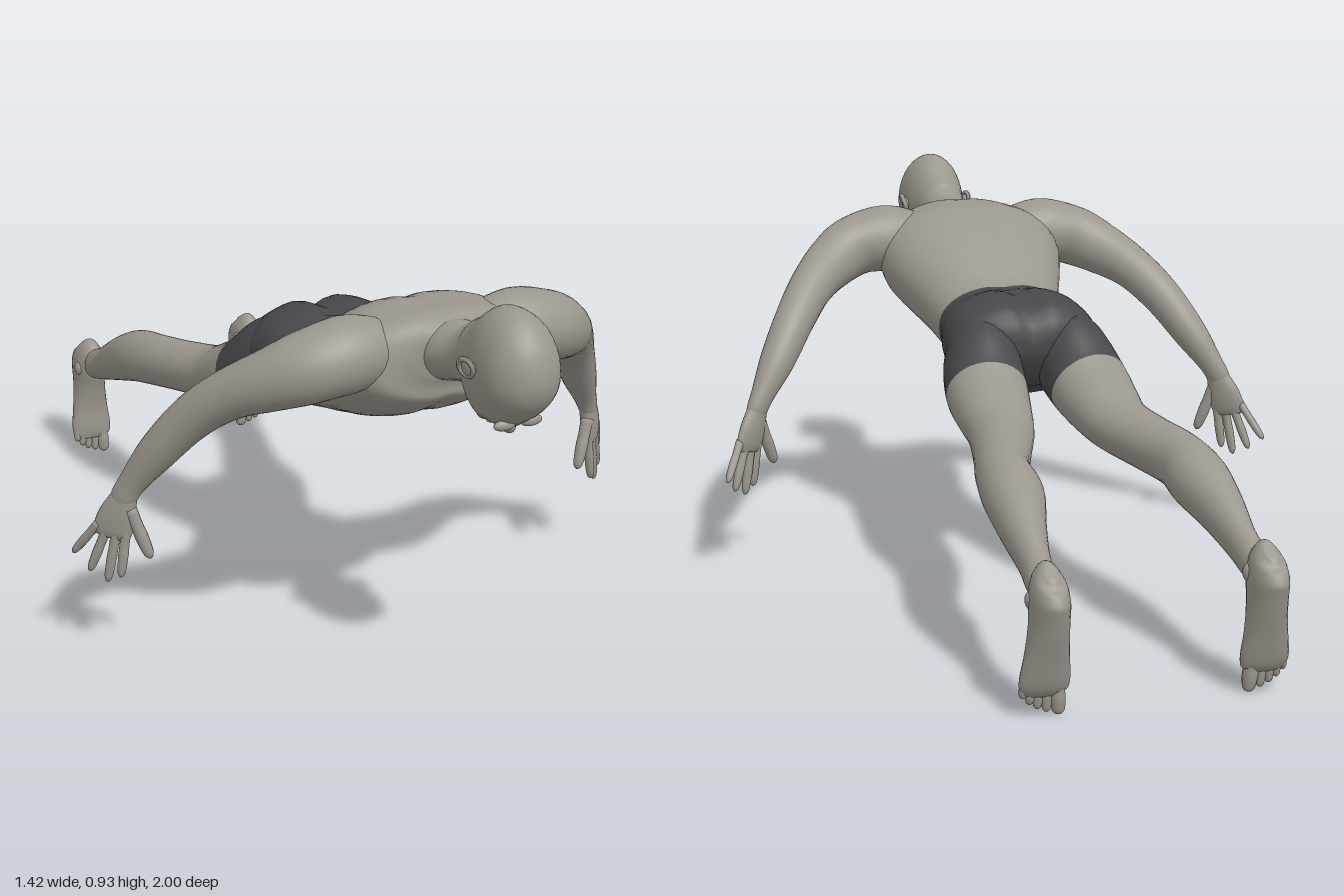
import * as THREE from 'three';

const skin = new THREE.MeshStandardMaterial({ color: 0x9c978e });
skin.name = 'skin';
const cloth = new THREE.MeshStandardMaterial({ color: 0x48474b });
cloth.name = 'shorts cloth';

const X = new THREE.Vector3(1, 0, 0);
const HAND = new THREE.Vector3(0.76, 0, -0.65); // from thumb side to little finger

// Catmull-Rom through rows of numbers; u counts rows
function sample(rows, u) {
  const n = rows.length - 1;
  const i = Math.min(Math.floor(u), n - 1), t = u - i;
  const at = (k) => rows[Math.max(0, Math.min(n, k))];
  const [a, b, c, d] = [at(i - 1), at(i), at(i + 1), at(i + 2)];
  return b.map((_, k) => b[k] + 0.5 * t * (c[k] - a[k] + t * (2 * a[k] - 5 * b[k] + 4 * c[k] - d[k]
    + t * (3 * (b[k] - c[k]) + d[k] - a[k]))));
}

// Smooth skin over cross-sections [x, y, z, halfWidth, depthUp, depthDown].
// cutRow changes from material 0 to material 1; dent scales the depth of a point.
function loft(rows, { side = X, seg = 28, sub = 5, power = 2, cutRow = 0, dent = null } = {}) {
  const pos = [], index = [], rings = (rows.length - 1) * sub;
  const T = new THREE.Vector3(), S = new THREE.Vector3(), U = new THREE.Vector3();
  for (let i = 0; i <= rings; i++) {
    const u = i / sub, v = sample(rows, u);
    const a = sample(rows, Math.max(0, u - 0.1)), b = sample(rows, Math.min(rows.length - 1, u + 0.1));
    T.set(b[0] - a[0], b[1] - a[1], b[2] - a[2]).normalize();
    S.copy(side).addScaledVector(T, -T.dot(side)).normalize();
    U.crossVectors(T, S);
    for (let j = 0; j < seg; j++) {
      const ang = (j / seg) * Math.PI * 2, c = Math.cos(ang), s = Math.sin(ang);
      const px = Math.sign(c) * Math.abs(c) ** (2 / power) * Math.max(v[3], 0.001);
      let py = Math.sign(s) * Math.abs(s) ** (2 / power) * Math.max(s > 0 ? v[4] : v[5], 0.001);
      if (dent) py *= dent(u, px, s);
      pos.push(v[0] + S.x * px + U.x * py, v[1] + S.y * px + U.y * py, v[2] + S.z * px + U.z * py);
    }
  }
  const first = pos.length / 3, last = first + 1;
  pos.push(...rows[0].slice(0, 3), ...rows[rows.length - 1].slice(0, 3));
  for (let j = 0; j < seg; j++) index.push(first, (j + 1) % seg, j);
  for (let i = 0; i < rings; i++) {
    for (let j = 0; j < seg; j++) {
      const a = i * seg + j, b = i * seg + (j + 1) % seg;
      index.push(a, b, a + seg, b, b + seg, a + seg);
    }
  }
  for (let j = 0; j < seg; j++) index.push(last, rings * seg + j, rings * seg + (j + 1) % seg);
  const g = new THREE.BufferGeometry();
  g.setAttribute('position', new THREE.Float32BufferAttribute(pos, 3));
  g.setIndex(index);
  g.computeVertexNormals();
  if (cutRow) {
    const split = 3 * seg * (1 + 2 * cutRow * sub);
    g.addGroup(0, split, 0);
    g.addGroup(split, index.length - split, 1);
  }
  return g;
}

// Finger or toe: tapered tube with a rounded tip
function digit(a, b, r, side) {
  const rows = [[0, 1], [0.35, 0.9], [0.55, 0.95], [0.85, 0.8], [0.96, 0.5], [1, 0.1]].map(([t, k]) =>
    [...a.map((p, i) => p + (b[i] - p) * t), r * k, r * k, r * k]);
  return loft(rows, { side, seg: 12, sub: 3 });
}

function ball(x, y, z, rx, ry, rz) {
  return new THREE.SphereGeometry(1, 20, 14).scale(rx, ry, rz).translate(x, y, z);
}

function mirrored(geo) {
  const g = geo.clone().scale(-1, 1, 1), idx = g.index.array;
  for (let i = 0; i < idx.length; i += 3) [idx[i], idx[i + 1]] = [idx[i + 1], idx[i]];
  g.computeVertexNormals();
  return g;
}

export function createModel() {
  const model = new THREE.Group();
  model.name = 'proneFigure';
  const add = (name, geo, mat = skin) => {
    const m = new THREE.Mesh(geo, mat);
    m.name = name;
    model.add(m);
  };
  const pair = (name, geo, mat) => {
    add('left' + name, geo, mat);
    add('right' + name, mirrored(geo), mat);
  };

  // Trunk from seat to shoulders, with a cleft, a spine groove and a breastbone groove
  add('trunkWithShorts', loft([
    [0, 0.53, -0.045, 0.08, 0.04, 0.06],
    [0, 0.555, 0, 0.18, 0.125, 0.115],
    [0, 0.578, 0.08, 0.186, 0.128, 0.12],
    [0, 0.587, 0.15, 0.172, 0.108, 0.115],
    [0, 0.594, 0.2, 0.164, 0.1, 0.11],
    [0, 0.61, 0.28, 0.172, 0.115, 0.105],
    [0, 0.655, 0.38, 0.208, 0.13, 0.12],
    [0, 0.695, 0.47, 0.235, 0.138, 0.128],
    [0, 0.735, 0.55, 0.228, 0.125, 0.125],
    [0, 0.765, 0.61, 0.19, 0.09, 0.11],
    [0, 0.775, 0.65, 0.1, 0.068, 0.07],
    [0, 0.775, 0.67, 0.05, 0.04, 0.04],
  ], {
    seg: 48, power: 2.25, cutRow: 4,
    dent: (u, x, s) => {
      const depth = s > 0 ? (u < 3 ? 0.17 : 0.06) : (u > 5 ? 0.05 : 0);
      return 1 - depth * Math.exp(-((x / 0.03) ** 2));
    },
  }), [cloth, skin]);

  // Neck and head, face pointing down
  add('neckAndHead', loft([
    [0, 0.745, 0.56, 0.09, 0.07, 0.07],
    [0, 0.77, 0.655, 0.078, 0.066, 0.068],
    [0, 0.778, 0.715, 0.063, 0.063, 0.06],
    [0, 0.784, 0.76, 0.062, 0.078, 0.07],
    [0, 0.79, 0.787, 0.066, 0.093, 0.122],
    [0, 0.795, 0.84, 0.078, 0.124, 0.125],
    [0, 0.8, 0.89, 0.084, 0.133, 0.124],
    [0, 0.8, 0.94, 0.08, 0.117, 0.095],
    [0, 0.8, 0.978, 0.056, 0.078, 0.06],
    [0, 0.8, 0.995, 0.025, 0.035, 0.028],
    [0, 0.8, 1.0, 0.002, 0.002, 0.002],
  ], { seg: 36 }));
  add('nose', ball(0, 0.676, 0.875, 0.013, 0.018, 0.026));
  add('lips', ball(0, 0.673, 0.832, 0.024, 0.008, 0.01));
  add('chin', ball(0, 0.678, 0.795, 0.025, 0.018, 0.016));
  pair('Brow', ball(0.032, 0.693, 0.915, 0.026, 0.012, 0.01));
  pair('Eye', ball(0.031, 0.69, 0.897, 0.014, 0.01, 0.009));
  const ear = new THREE.TorusGeometry(0.021, 0.006, 8, 20).scale(0.95, 1.25, 1)
    .rotateY(Math.PI / 2 - 0.3).rotateX(1.2).translate(0.087, 0.806, 0.85);
  pair('EarRim', ear);
  pair('EarInner', ball(0.083, 0.805, 0.85, 0.008, 0.018, 0.024));

  // Arms, shoulder to wrist
  pair('Arm', loft([
    [0.1, 0.755, 0.55, 0.06, 0.06, 0.06],
    [0.2, 0.762, 0.56, 0.086, 0.084, 0.084],
    [0.29, 0.748, 0.556, 0.083, 0.078, 0.078],
    [0.36, 0.716, 0.515, 0.07, 0.068, 0.068],
    [0.43, 0.67, 0.445, 0.057, 0.056, 0.056],
    [0.49, 0.603, 0.375, 0.051, 0.05, 0.05],
    [0.55, 0.51, 0.315, 0.044, 0.043, 0.043],
    [0.595, 0.435, 0.28, 0.032, 0.028, 0.028],
    [0.615, 0.395, 0.268, 0.03, 0.022, 0.022],
    [0.622, 0.375, 0.264, 0.02, 0.015, 0.015],
  ], { side: HAND }));

  // Hands with spread fingers
  pair('Palm', loft([
    [0.604, 0.42, 0.274, 0.024, 0.02, 0.02],
    [0.615, 0.39, 0.268, 0.032, 0.021, 0.021],
    [0.628, 0.35, 0.26, 0.043, 0.02, 0.02],
    [0.638, 0.315, 0.254, 0.045, 0.016, 0.016],
    [0.641, 0.298, 0.252, 0.036, 0.01, 0.01],
  ], { side: HAND, seg: 20 }));
  [
    ['Thumb', [0.606, 0.37, 0.28], [0.567, 0.25, 0.302], 0.016],
    ['IndexFinger', [0.613, 0.325, 0.275], [0.629, 0.203, 0.272], 0.0125],
    ['MiddleFinger', [0.631, 0.32, 0.262], [0.653, 0.188, 0.25], 0.0125],
    ['RingFinger', [0.648, 0.32, 0.247], [0.683, 0.208, 0.218], 0.012],
    ['LittleFinger', [0.663, 0.33, 0.235], [0.707, 0.242, 0.178], 0.011],
  ].forEach(([name, a, b, r]) => pair(name, digit(a, b, r, HAND)));

  // Legs, ankle to hip, the top part in the shorts
  pair('LegWithShorts', loft([
    [0.24, 0.25, -0.935, 0.022, 0.025, 0.025],
    [0.236, 0.272, -0.87, 0.033, 0.042, 0.038],
    [0.232, 0.3, -0.8, 0.035, 0.046, 0.046],
    [0.226, 0.343, -0.7, 0.052, 0.06, 0.058],
    [0.215, 0.38, -0.6, 0.068, 0.07, 0.066],
    [0.208, 0.402, -0.5, 0.062, 0.068, 0.066],
    [0.178, 0.418, -0.39, 0.066, 0.064, 0.067],
    [0.145, 0.435, -0.27, 0.078, 0.067, 0.068],
    [0.135, 0.46, -0.18, 0.09, 0.08, 0.08],
    [0.128, 0.49, -0.1, 0.098, 0.092, 0.092],
    [0.112, 0.538, 0, 0.092, 0.118, 0.108],
    [0.09, 0.57, 0.07, 0.075, 0.095, 0.095],
    [0.08, 0.58, 0.11, 0.04, 0.05, 0.05],
  ], { cutRow: 9, seg: 32 }), [skin, cloth]);

  // Feet, heel at the back and toes down
  pair('Foot', loft([
    [0.24, 0.316, -0.945, 0.012, 0.03, 0.02],
    [0.24, 0.3, -0.936, 0.032, 0.06, 0.052],
    [0.24, 0.262, -0.928, 0.041, 0.066, 0.07],
    [0.24, 0.205, -0.928, 0.042, 0.054, 0.054],
    [0.242, 0.14, -0.921, 0.048, 0.034, 0.038],
    [0.244, 0.085, -0.912, 0.055, 0.024, 0.028],
    [0.245, 0.06, -0.907, 0.052, 0.017, 0.02],
    [0.245, 0.047, -0.905, 0.04, 0.01, 0.012],
  ], { seg: 24 }));
  pair('InnerAnkle', ball(0.207, 0.265, -0.905, 0.013, 0.02, 0.018));
  pair('OuterAnkle', ball(0.273, 0.255, -0.91, 0.013, 0.02, 0.018));
  [[0.212, 0, 0.018], [0.238, 0.008, 0.0125], [0.258, 0.016, 0.012], [0.275, 0.027, 0.0115], [0.29, 0.042, 0.011]]
    .forEach(([x, y, r], i) => pair('Toe' + (i + 1),
      digit([0.245 + (x - 0.245) * 0.85, 0.085 + y * 0.3, -0.91], [x, y, -0.904], r, X)));

  return model;
}
